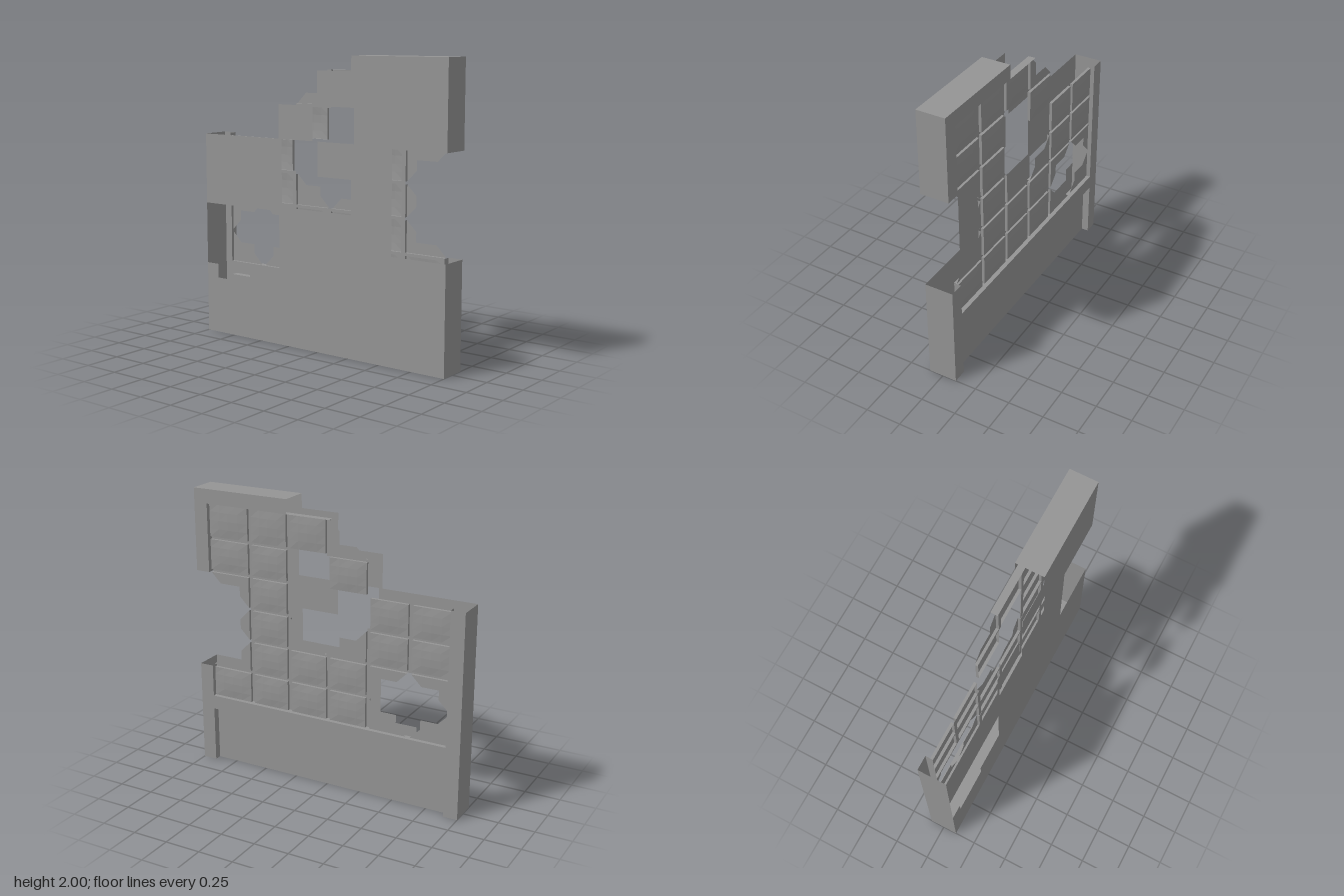
import * as THREE from 'three';
import { mergeGeometries } from 'three/addons/utils/BufferGeometryUtils.js';

const mat = new THREE.MeshStandardMaterial({ color: 0x959595, side: THREE.DoubleSide, flatShading: true });
const FRONT = 0.1, BACK = -0.1, RECESS = -0.05, RIM = -0.07, BULGE = 0.007;
const PX = 0.3, PY = 1.4 / 6, GAPX = 0.03, GAPY = 0.02;

// Bottom row first. F whole, . missing; broken tiles keep the named corner or edge:
// q/e lower left/right (thick), a/d lower left/right (thin), z/c upper left/right (thin), l left edge
const TILES = ['qeFFFF', 'zcFFFa', 'FFqdFl', 'FF..Fz', '..F.FF', '..dFFF'];
const at = (c, r) => (TILES[r] && TILES[r][c]) || '.';

export function createModel() {
  const model = new THREE.Group();
  model.name = 'ruinedWall';

  const add = (geo, name, parent = model) => {
    const mesh = new THREE.Mesh(geo, mat);
    mesh.name = name;
    parent.add(mesh);
    return mesh;
  };
  const polygon = (pts) => new THREE.ShapeGeometry(new THREE.Shape(pts.map(([x, y]) => new THREE.Vector2(x, y))));

  // Flat sheets facing z, x and y, given by their extents
  const sheetZ = (name, x0, x1, y0, y1, z, parent) =>
    add(new THREE.PlaneGeometry(x1 - x0, y1 - y0).rotateY(Math.PI).translate((x0 + x1) / 2, (y0 + y1) / 2, z), name, parent);
  const sheetX = (name, x, y0, y1, z0, z1) =>
    add(new THREE.PlaneGeometry(z1 - z0, y1 - y0).rotateY(Math.PI / 2 * Math.sign(x)).translate(x, (y0 + y1) / 2, (z0 + z1) / 2), name);
  const sheetY = (name, y, x0, x1, z0, z1, up = 1) =>
    add(new THREE.PlaneGeometry(x1 - x0, z1 - z0).rotateX(-Math.PI / 2 * up).translate((x0 + x1) / 2, y, (z0 + z1) / 2), name);

  // Front skin with its broken openings
  add(polygon([
    [-1, 0], [1, 0], [1, 0.73], [0.595, 0.73], [0.595, 1.42], [1, 1.42], [1, 2], [0.275, 2], [0.275, 1.9],
    [0, 1.9], [0, 1.667], [0.3, 1.667], [0.3, 1.433], [0, 1.433], [0, 1.2], [0.275, 1.2], [0.275, 0.967],
    [-0.305, 0.967], [-0.305, 1.433], [-0.04, 1.433], [-0.04, 1.667], [-0.33, 1.667], [-0.33, 1.433],
    [-1, 1.433], [-1, 0.937], [-0.33, 0.937], [-0.33, 0.5], [-0.6, 0.5], [-0.6, 0.4], [-0.9, 0.4], [-0.9, 0.5], [-1, 0.5],
  ]).translate(0, 0, FRONT), 'frontSkin');

  // Outer sides, top and underside
  sheetX('leftLowerSide', 1, 0, 0.73, BACK, FRONT);
  sheetX('leftUpperSide', 1, 1.42, 2, BACK, FRONT);
  sheetX('rightSide', -1, 0, 1.433, BACK, FRONT);
  sheetY('topFace', 2, 0.275, 1, BACK, FRONT);
  sheetY('underside', 0, -0.9, 0.9, RECESS, FRONT, -1);
  for (const s of [-1, 1]) sheetY('columnUnderside', 0, s * 0.95 - 0.05, s * 0.95 + 0.05, BACK, FRONT, -1);

  // Back frame: columns, top beam and middle band
  sheetZ('rightBackColumn', -1, -0.9, 0, 1.433, BACK);
  sheetZ('leftLowerBackColumn', 0.9, 1, 0, 0.73, BACK);
  sheetZ('leftUpperBackColumn', 0.9, 1, 1.42, 2, BACK);
  sheetZ('topBeam', 0.275, 0.9, 1.9, 2, BACK);
  sheetZ('middleBand', -0.9, 0.9, 0.4, 0.5, BACK);

  // Plinth panel and the returns of the recesses
  sheetZ('plinthPanel', -0.9, 0.9, 0, 0.4, RECESS);
  for (const x of [-0.9, 0.9]) sheetX('plinthReturn', x, 0, 0.4, BACK, RECESS);
  sheetY('plinthHead', 0.4, -0.9, 0.9, BACK, RECESS, -1);
  sheetY('bandLedge', 0.5, -0.9, 0.9, BACK, RECESS);
  sheetY('beamSoffit', 1.9, -0.04, 0.9, BACK, RECESS, -1);
  sheetX('rightReturn', -0.9, 0.5, 1.433, BACK, RECESS);
  sheetX('leftLowerReturn', 0.9, 0.5, 0.73, BACK, RECESS);
  sheetX('leftUpperReturn', 0.9, 1.42, 1.9, BACK, RECESS);

  // Whole tile: upright rim and a softly raised face
  const wholeTile = (w, h) => {
    const n = 6, geo = new THREE.PlaneGeometry(w, h, n, n).rotateY(Math.PI);
    const p = geo.attributes.position;
    const spread = (i) => THREE.MathUtils.clamp((i - n / 2) / (n / 2 - 1), -1, 1);
    for (let k = 0; k < p.count; k++) {
      const i = k % (n + 1), j = Math.floor(k / (n + 1));
      const u = spread(i), v = spread(j);
      const edge = i === 0 || j === 0 || i === n || j === n;
      p.setXYZ(k, -u * w / 2, -v * h / 2, edge ? RECESS : RIM - BULGE * (1 - u * u) * (1 - v * v));
    }
    geo.computeVertexNormals();
    return geo;
  };

  // Broken tile: the jagged remainder around one corner or edge, with the rim of its unbroken sides
  const brokenTile = (kind, w, h) => {
    const t = 0.073, fx = 'edc'.includes(kind), fy = 'zc'.includes(kind);
    const flip = ([x, y]) => [fx ? w - x : x, fy ? h - y : y];
    const knee = 'qe'.includes(kind) ? [w - t, h - t] : [t, t];
    const face = kind === 'l' ? [[0, 0], [t, t], [t, h - t], [0, h]]
      : [[0, 0], [w, 0], [w - t, t], knee, [t, h - t], [0, h]];
    const sides = [[0, h], [0, 0], kind === 'l' ? [0, 0] : [w, 0]].map(flip);
    const rim = new THREE.PlaneGeometry(1, 1, 2, 1);
    for (let k = 0; k < 6; k++) rim.attributes.position.setXYZ(k, ...sides[k % 3], k < 3 ? RIM : RECESS);
    rim.computeVertexNormals();
    return mergeGeometries([polygon(face.map(flip)).translate(0, 0, RIM), rim]);
  };

  // Tiled back with the grooves between tiles
  const tiles = new THREE.Group();
  tiles.name = 'backTiles';
  model.add(tiles);
  const joined = (a, b) => a !== '.' && b !== '.' && (a === 'F' || b === 'F');
  for (let r = 0; r < 6; r++) {
    for (let c = 0; c < 6; c++) {
      const kind = at(c, r), x = -0.9 + c * PX, y = 0.5 + r * PY;
      const w = c < 5 ? PX - GAPX : PX, h = r < 5 ? PY - GAPY : PY;
      if (kind === 'F') add(wholeTile(w, h).translate(x + w / 2, y + h / 2, 0), 'tile', tiles);
      else if (kind !== '.') add(brokenTile(kind, w, h).translate(x, y, 0), 'brokenTile', tiles);
      const beside = at(c + 1, r), above = at(c, r + 1);
      if (joined(kind, beside)) sheetZ('uprightGroove', x + w, x + PX, y, y + h, RECESS, tiles);
      else if (c === 3 && kind === '.') sheetZ('uprightGroove', x + w, x + PX, y, y + PY, RECESS, tiles);
      if (joined(kind, above)) sheetZ('levelGroove', x, x + PX, y + h, y + PY, RECESS, tiles);
    }
  }
  return model;
}
